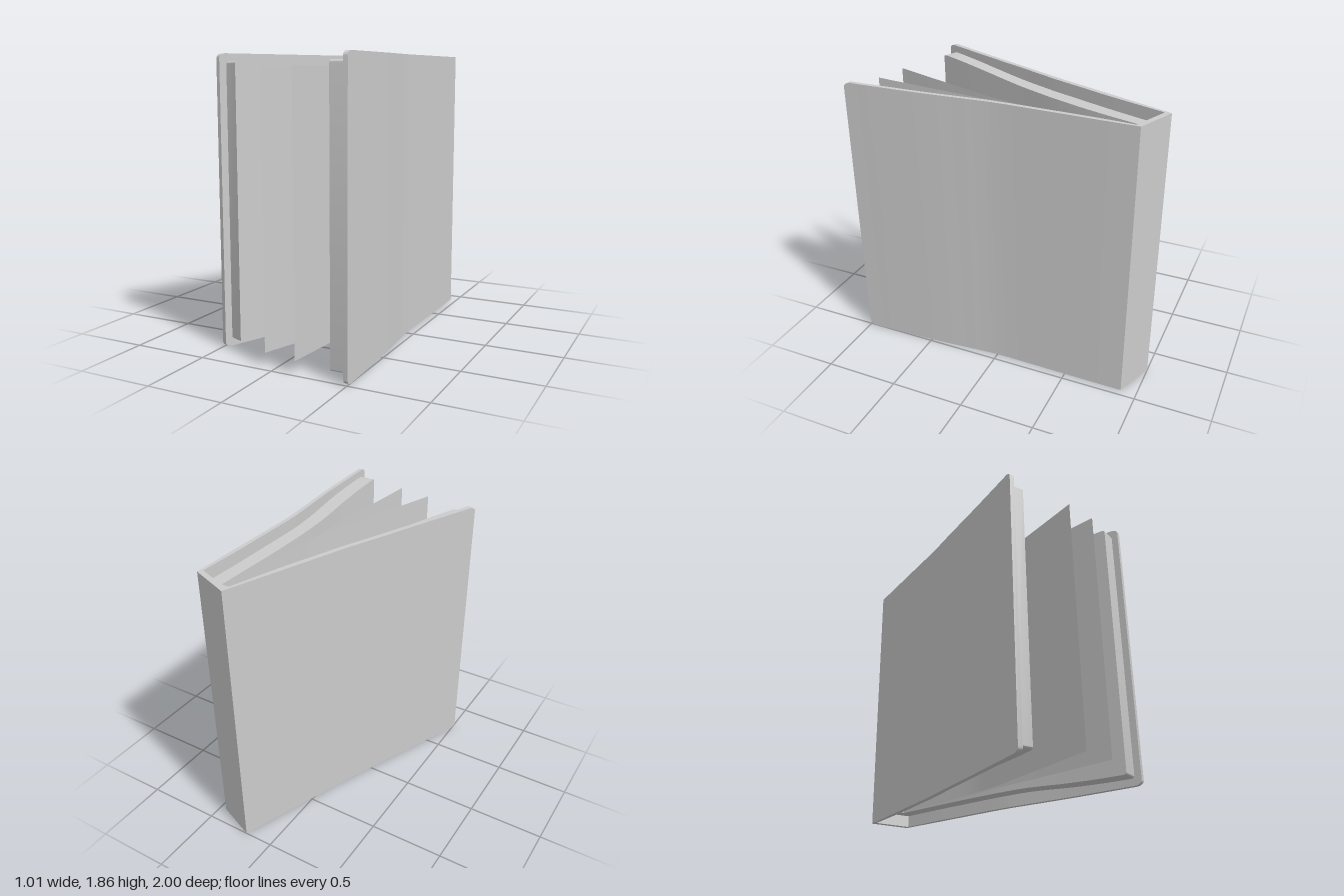
import * as THREE from 'three';
import { toCreasedNormals } from 'three/addons/utils/BufferGeometryUtils.js';

const HEIGHT = 1.86;
const grey = () => new THREE.MeshStandardMaterial({ color: 0xcccccc });
const plan = (pts) => new THREE.CatmullRomCurve3(pts.map(([x, z]) => new THREE.Vector3(x, 0, z)));

// Plan outlines [x, z], from the spine to the fore-edge
const leftOuter = [[0.195, -1], [0.045, -0.6], [-0.03, -0.4], [-0.105, -0.2], [-0.19, 0], [-0.33, 0.34], [-0.51, 0.765]];
const rightOuter = [[0.455, -0.895], [0.453, -0.6], [0.45, -0.35], [0.448, 0], [0.462, 0.2], [0.485, 0.5], [0.505, 1]];
const shift = (pts, dx, dz, first) => pts.map(([x, z], i) => (i ? [x + dx, z + dz] : first));
const leftInner = shift(leftOuter, 0.03, 0.012, [0.2, -0.96]);
const rightInner = shift(rightOuter, -0.028, 0, [0.435, -0.865]);
const leftPage = [[0.24, -0.83], [0.175, -0.6], [0.11, -0.4], [0.035, -0.2], [-0.05, 0], [-0.19, 0.34], [-0.37, 0.77]];
const rightPage = [[0.34, -0.83], [0.333, -0.6], [0.325, -0.35], [0.325, 0], [0.335, 0.2], [0.352, 0.5], [0.37, 0.955]];

// Stations along one board or page stack, with rounded fore-edge corners of radius r
function leg(outerPts, innerPts, margin, r) {
  const outer = plan(outerPts), inner = plan(innerPts);
  const length = outer.getLength();
  const steps = [];
  for (let i = 0; i < 24; i++) steps.push([i / 24, 0]);
  for (let j = 0; j <= 6; j++) {
    const a = (j / 6) * Math.PI / 2;
    steps.push([1 - (r / length) * (1 - Math.sin(a)), r * (1 - Math.cos(a))]);
  }
  return steps.map(([t, inset]) => ({
    o: outer.getPoint(t), i: inner.getPoint(t), y: margin(t) + inset,
  }));
}

// Closed solid that joins rectangular sections: outer bottom, outer top, inner top, inner bottom
function sweep(stations) {
  const pos = [], index = [];
  for (const { o, i, y } of stations) {
    const top = HEIGHT - y;
    pos.push(o.x, y, o.z, o.x, top, o.z, i.x, top, i.z, i.x, y, i.z);
  }
  const quad = (a, b, c, d) => index.push(a, b, c, a, c, d);
  const last = (stations.length - 1) * 4;
  for (let s = 0; s < last; s += 4) {
    for (let k = 0; k < 4; k++) {
      const n = (k + 1) % 4;
      quad(s + k, s + n, s + 4 + n, s + 4 + k);
    }
  }
  quad(0, 3, 2, 1);
  quad(last, last + 1, last + 2, last + 3);
  const geo = new THREE.BufferGeometry();
  geo.setAttribute('position', new THREE.Float32BufferAttribute(pos, 3));
  geo.setIndex(index);
  return toCreasedNormals(geo, 0.5);
}

// Single thin sheet standing on a plan curve
function sheet(pts, margin) {
  const curve = plan(pts);
  const n = 24;
  const geo = new THREE.PlaneGeometry(1, HEIGHT - 2 * margin, n, 1);
  const p = geo.attributes.position;
  for (let v = 0; v < p.count; v++) {
    const q = curve.getPoint(Math.min(1, Math.max(0, p.getX(v) + 0.5)));
    p.setXYZ(v, q.x, p.getY(v) + HEIGHT / 2, q.z);
  }
  geo.computeVertexNormals();
  return geo;
}

export function createModel() {
  const book = new THREE.Group();
  book.name = 'openBook';
  const add = (name, geo, material = grey()) => {
    const mesh = new THREE.Mesh(geo, material);
    mesh.name = name;
    book.add(mesh);
  };

  // Hard cover: left board, spine and right board in one piece
  const flush = () => 0;
  add('cover', sweep([
    ...leg(leftOuter, leftInner, flush, 0.03).reverse(),
    ...leg(rightOuter, rightInner, flush, 0.03),
  ]));

  // Page block: set in from the cover, flaring slightly towards the fore-edge
  const flare = (t) => 0.08 - 0.033 * THREE.MathUtils.smoothstep(t, 0.65, 1);
  const endAt = (pts, end) => [...pts.slice(0, -1), end];
  add('pageBlock', sweep([
    ...leg(endAt(leftInner, [-0.465, 0.73]), leftPage, flare, 0.015).reverse(),
    ...leg(endAt(rightInner, [0.476, 0.955]), rightPage, flare, 0.015),
  ]));

  // Two loose pages fanned out from the gutter
  const loosePages = [
    [[0.275, -0.84], [0.255, -0.4], [0.215, 0], [0.08, 0.45], [-0.08, 0.94]],
    [[0.3, -0.84], [0.27, -0.4], [0.235, 0], [0.195, 0.5], [0.15, 0.98]],
  ];
  loosePages.forEach((pts, i) => {
    const paper = grey();
    paper.side = THREE.DoubleSide;
    add(`loosePage${i + 1}`, sheet(pts, 0.08), paper);
  });

  return book;
}
